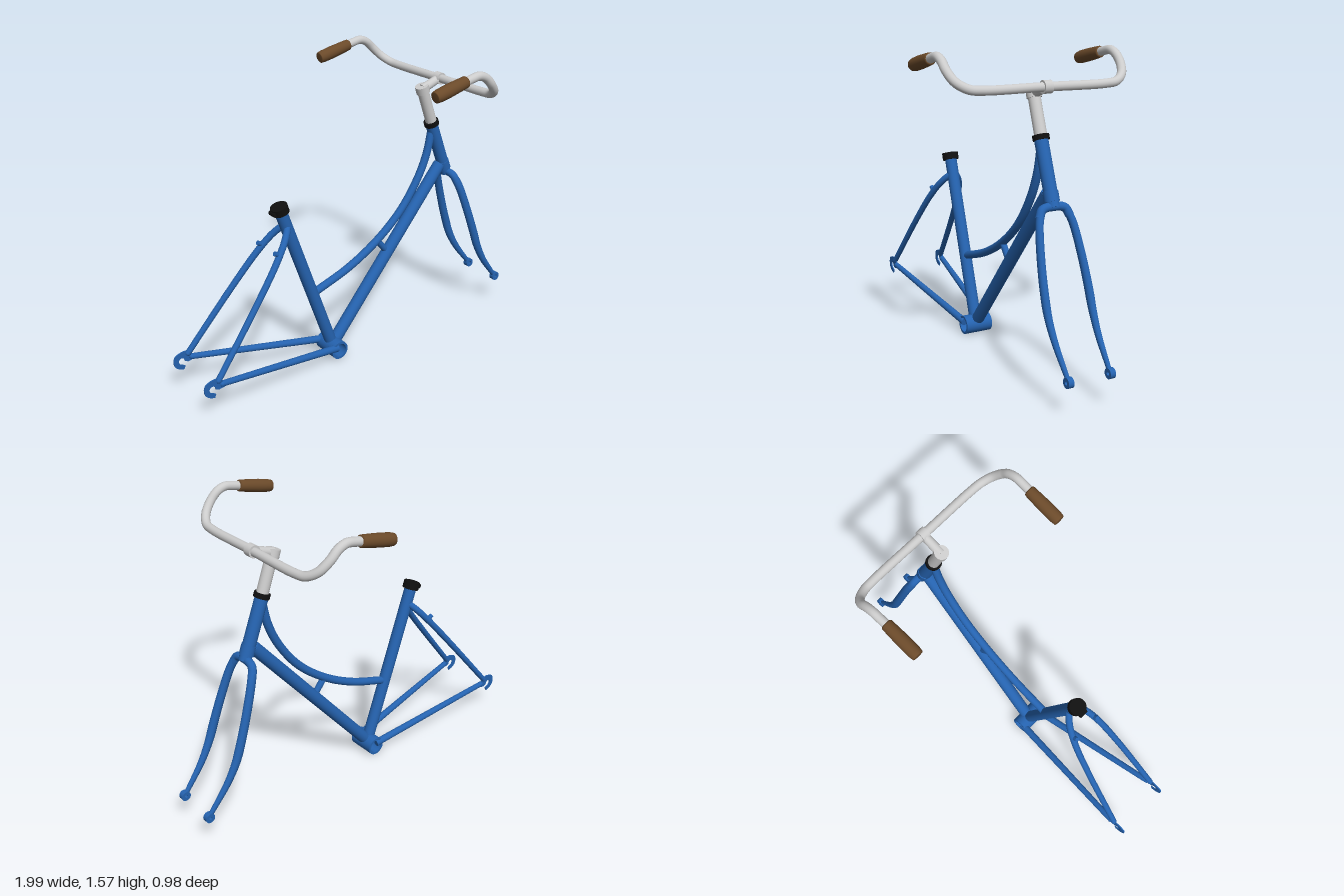
import * as THREE from 'three';

const paint = (color) => new THREE.MeshStandardMaterial({ color, side: THREE.DoubleSide });
const blue = paint(0x2563b0), black = paint(0x101010), brown = paint(0x6b4a2a), grey = paint(0xcccccc);
const V = (p) => new THREE.Vector3(p[0], p[1], p[2] || 0);

export function createModel() {
  const group = new THREE.Group();

  const add = (name, geo, mat) => {
    const mesh = new THREE.Mesh(geo, mat);
    mesh.name = name;
    group.add(mesh);
    return mesh;
  };

  // Points the y axis of a mesh from a to b, with its middle halfway
  const place = (mesh, a, b) => {
    mesh.position.copy(a).lerp(b, 0.5);
    mesh.quaternion.setFromUnitVectors(new THREE.Vector3(0, 1, 0), b.clone().sub(a).normalize());
    return mesh;
  };

  // Straight round bar between two points
  const rod = (name, a, b, r0, r1 = r0, mat = blue) => {
    const p = V(a), q = V(b);
    return place(add(name, new THREE.CylinderGeometry(r1, r0, p.distanceTo(q), 24), mat), p, q);
  };

  // Hollow ring or sleeve with its axis along z
  const sleeve = (name, p, outer, inner, length) => {
    const h = length / 2;
    const profile = [[inner, -h], [outer, -h], [outer, h], [inner, h], [inner, -h]];
    const pts = profile.flatMap((c) => [new THREE.Vector2(...c), new THREE.Vector2(...c)]).slice(1, -1);
    const mesh = add(name, new THREE.LatheGeometry(pts, 32), blue);
    mesh.rotation.x = Math.PI / 2;
    mesh.position.copy(V(p));
    return mesh;
  };

  // Curved bar through points; radius(t) tapers it and flat squeezes it in z
  const pipe = (name, points, radius, mat = blue, flat = 1, seg = 64) => {
    const curve = new THREE.CatmullRomCurve3(points.map(V), false, 'centripetal');
    const geo = new THREE.TubeGeometry(curve, seg, 1, 16);
    const pos = geo.attributes.position, v = new THREE.Vector3();
    for (let i = 0; i < pos.count; i++) {
      const t = Math.floor(i / 17) / seg, c = curve.getPointAt(t);
      v.fromBufferAttribute(pos, i).sub(c).multiplyScalar(radius(t));
      v.z *= flat;
      pos.setXYZ(i, c.x + v.x, c.y + v.y, c.z + v.z);
    }
    return add(name, geo, mat);
  };

  // Main frame
  sleeve('bottomBracket', [-0.14, 0.05, 0], 0.05, 0.038, 0.15);
  rod('seatTube', [-0.153, 0.093], [-0.438, 0.91], 0.032);
  rod('downTube', [-0.11, 0.088], [0.595, 0.925], 0.033);
  rod('headTube', [0.525, 1.17], [0.628, 0.9], 0.033);
  rod('lowerHeadLug', [0.612, 0.94], [0.63, 0.893], 0.037);
  pipe('curvedTopTube', [[0.525, 1.12], [0.5, 1.01], [0.445, 0.885], [0.33, 0.725], [0.17, 0.59],
    [-0.02, 0.485], [-0.25, 0.405]], () => 0.021);
  rod('tubeStrut', [0.16, 0.59], [0.225, 0.51], 0.017);

  // Seat collar with its clamp lug
  rod('seatCollar', [-0.437, 0.908], [-0.449, 0.944], 0.044, 0.044, black);
  rod('seatCollarLug', [-0.48, 0.913, -0.022], [-0.48, 0.913, 0.022], 0.014, 0.014, black);

  // Headset and stem
  rod('headsetCap', [0.53, 1.162], [0.521, 1.185], 0.04, 0.04, black);
  rod('stemQuill', [0.524, 1.18], [0.453, 1.375], 0.03, 0.03, grey);
  rod('stemHead', [0.462, 1.35], [0.449, 1.388], 0.036, 0.036, grey);
  rod('stemExtension', [0.455, 1.37], [0.568, 1.41], 0.025, 0.022, grey);
  rod('barClamp', [0.568, 1.41, -0.021], [0.568, 1.41, 0.021], 0.031, 0.031, grey);

  // Handlebar, one half mirrored onto the other
  const half = [[0.568, 1.41, 0.05], [0.568, 1.41, 0.32], [0.56, 1.417, 0.385], [0.53, 1.447, 0.435],
    [0.485, 1.495, 0.458], [0.445, 1.532, 0.46], [0.4, 1.549, 0.46], [0.35, 1.542, 0.459], [0.27, 1.522, 0.457]];
  const mirrored = half.map(([x, y, z]) => [x, y, -z]).reverse();
  pipe('handlebar', [...mirrored, ...half], () => 0.022, grey, 1, 160);

  // Fork crown arch and tip shape
  pipe('forkCrown', [[0.655, 0.83, -0.079], [0.645, 0.862, -0.062], [0.642, 0.872, -0.035], [0.641, 0.873, 0],
    [0.642, 0.872, 0.035], [0.645, 0.862, 0.062], [0.655, 0.83, 0.079]], () => 0.021);
  rod('forkSteerer', [0.625, 0.91], [0.642, 0.868], 0.031);

  // Hooked rear axle plate
  const hook = new THREE.Shape();
  hook.moveTo(-0.885, 0.175);
  hook.lineTo(-0.9, 0.225);
  hook.quadraticCurveTo(-0.94, 0.245, -0.985, 0.22);
  hook.quadraticCurveTo(-1.005, 0.195, -0.99, 0.16);
  hook.quadraticCurveTo(-0.972, 0.138, -0.942, 0.133);
  hook.lineTo(-0.934, 0.152);
  hook.lineTo(-0.96, 0.165);
  hook.quadraticCurveTo(-0.978, 0.187, -0.958, 0.199);
  hook.quadraticCurveTo(-0.938, 0.203, -0.935, 0.178);
  hook.lineTo(-0.918, 0.17);
  hook.closePath();
  const plate = new THREE.ExtrudeGeometry(hook, { depth: 0.006, bevelEnabled: false });

  // Barrel shaped grip profile
  const gripProfile = [[0, -0.1], [0.024, -0.1], [0.029, -0.094], [0.031, -0.05], [0.033, 0.02],
    [0.032, 0.075], [0.029, 0.097], [0.024, 0.1], [0, 0.1]].map((c) => new THREE.Vector2(...c));

  for (const s of [1, -1]) {
    const side = s > 0 ? 'front' : 'back';
    const name = (part) => side + part;

    place(add(name('Grip'), new THREE.LatheGeometry(gripProfile, 24), brown),
      V([0.32, 1.535, s * 0.457]), V([0.128, 1.492, s * 0.457]));

    // Fork leg, sweeping forward to the axle eye
    pipe(name('ForkLeg'), [[0.65, 0.845, s * 0.074], [0.672, 0.79, s * 0.09], [0.72, 0.65, s * 0.108],
      [0.768, 0.51, s * 0.117], [0.805, 0.41, s * 0.118], [0.86, 0.31, s * 0.115], [0.96, 0.178, s * 0.11]],
    (t) => (t < 0.55 ? 0.023 + 0.003 * t : 0.0247 - 0.025 * (t - 0.55)), blue, 0.75);
    sleeve(name('ForkEye'), [0.97, 0.165, s * 0.11], 0.025, 0.009, 0.028);

    // Rear stays
    pipe(name('SeatStay'), [[-0.4, 0.84, 0], [-0.425, 0.815, s * 0.03], [-0.46, 0.775, s * 0.058],
      [-0.53, 0.69, s * 0.088], [-0.66, 0.531, s * 0.116], [-0.915, 0.218, s * 0.152]],
    (t) => 0.018 - 0.003 * t);
    rod(name('ChainStay'), [-0.15, 0.062, s * 0.062], [-0.895, 0.192, s * 0.151], 0.02, 0.015);
    for (const end of [[-0.915, 0.218, s * 0.152], [-0.895, 0.192, s * 0.151]]) {
      add(name('StayEnd'), new THREE.SphereGeometry(0.015, 16, 12), blue).position.copy(V(end));
    }
    add(name('Dropout'), plate, blue).position.z = s * 0.154 - 0.003;

    // Small mounting boss on the seat stay
    rod(name('StayBoss'), [-0.5, 0.722, s * 0.077], [-0.53, 0.744, s * 0.077], 0.012);
  }
  return group;
}
